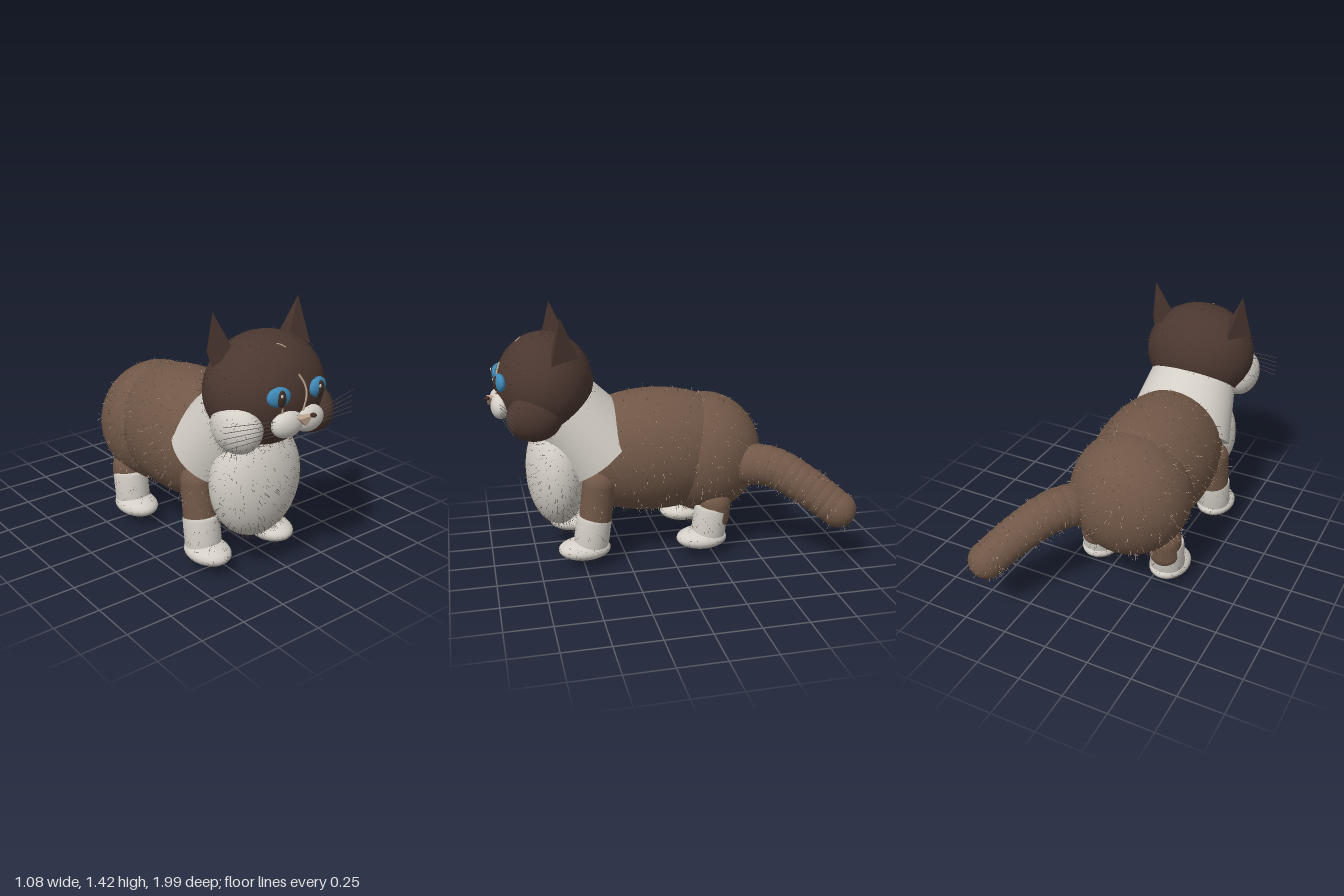
import * as THREE from 'three';

const mat = (name, color, side = THREE.FrontSide) => {
  const m = new THREE.MeshStandardMaterial({ color, side });
  m.name = name;
  return m;
};

export function createModel() {
  const brown = mat('brown fur', 0x705747);
  const dark = mat('dark mask fur', 0x4b3730);
  const white = mat('white fur', 0xd3cec6);
  const blue = mat('blue eye', 0x3f88b5);
  const tan = mat('tan nose', 0xc0a58f);
  const pupil = mat('pupil', 0x3d2d27);
  const darkHair = mat('dark hair', 0x3a2c26, THREE.DoubleSide);
  const lightHair = mat('light hair', 0xc2ad96, THREE.DoubleSide);
  const whiskerMat = mat('whisker', 0x5a524e);

  const CX = -0.12; // body's plane of symmetry
  const root = new THREE.Group();
  root.name = 'cat';

  let seed = 7;
  const rand = () => (seed = (seed * 16807) % 2147483647) / 2147483647;
  const V = (x, y, z) => new THREE.Vector3(x, y, z);

  const add = (name, geo, material, x = 0, y = 0, z = 0) => {
    const mesh = new THREE.Mesh(geo, material);
    mesh.name = name;
    mesh.position.set(x, y, z);
    root.add(mesh);
    return mesh;
  };

  // Thin stray hairs standing out from an ellipsoid
  const fur = (name, c, r, count, material, length = 0.03) => {
    const pos = [];
    for (let i = 0; i < count; i++) {
      const u = rand() * 2 - 1, a = rand() * Math.PI * 2, s = Math.sqrt(1 - u * u);
      const d = V(s * Math.cos(a), u, s * Math.sin(a));
      const p = d.clone().multiply(r).add(c);
      const n = d.clone().divide(r).normalize();
      const lean = V(rand() - 0.5, rand() - 0.9, rand() - 0.5);
      const tip = n.clone().addScaledVector(lean, 0.9).multiplyScalar(length * (0.5 + 0.5 * rand())).add(p);
      const w = n.clone().cross(lean).normalize().multiplyScalar(0.0011);
      pos.push(...p.clone().sub(w).toArray(), ...p.clone().add(w).toArray(), ...tip.toArray());
    }
    const g = new THREE.BufferGeometry();
    g.setAttribute('position', new THREE.Float32BufferAttribute(pos, 3));
    g.computeVertexNormals();
    add(name + 'Hair', g, material);
  };

  // Ellipsoid with optional fur
  const ball = (name, material, c, r, hairs = 0) => {
    const mesh = add(name, new THREE.SphereGeometry(1, 40, 28), material, ...c);
    mesh.scale.set(...r);
    if (hairs) {
      fur(name, V(...c), V(...r), hairs, darkHair);
      if (material === brown) fur(name + 'Light', V(...c), V(...r), hairs, lightHair);
    }
    return mesh;
  };

  // Body
  ball('torso', brown, [CX, 0.575, 0.06], [0.335, 0.355, 0.57], 700);
  ball('rump', brown, [CX, 0.535, -0.245], [0.34, 0.35, 0.33], 500);
  ball('chestBib', white, [CX, 0.495, 0.615], [0.268, 0.32, 0.175], 900);

  // Collar of white fur leaning forward into the head
  const collar = add('neckCollar', new THREE.CylinderGeometry(0.22, 0.27, 0.32, 48), white, CX, 0.73, 0.47);
  collar.rotation.x = 0.67;
  collar.scale.x = 1.17;

  // Head
  const H = { y: 1.0, z: 0.665, rx: 0.322, ry: 0.285, rz: 0.265 };
  ball('head', dark, [CX, H.y, H.z], [H.rx, H.ry, H.rz], 900);
  ball('rightCheek', white, [CX - 0.233, 0.872, 0.745], [0.108, 0.132, 0.15], 150);
  ball('leftCheek', dark, [CX + 0.225, 0.872, 0.745], [0.108, 0.132, 0.15], 150);
  const faceZ = (x, y) =>
    H.z + H.rz * Math.sqrt(1 - ((x - CX) / H.rx) ** 2 - ((y - H.y) / H.ry) ** 2);

  // Three-sided pointed ears
  for (const s of [-1, 1]) {
    const front = V(CX + s * 0.312, 1.16, 0.655), inner = V(CX + s * 0.165, 1.2, 0.645);
    const back = V(CX + s * 0.225, 1.18, 0.5), tip = V(CX + s * 0.268, 1.405, 0.6);
    const faces = [[front, inner, tip], [inner, back, tip], [back, front, tip], [inner, front, back]];
    const pts = faces.flatMap(([a, b, c]) => (s < 0 ? [a, b, c] : [b, a, c]));
    const g = new THREE.BufferGeometry().setFromPoints(pts);
    g.computeVertexNormals();
    add(s < 0 ? 'rightEar' : 'leftEar', g, dark);
  }

  for (const s of [-1, 1]) {
    const side = s < 0 ? 'right' : 'left';
    // Eyes
    const eye = ball(side + 'Eye', blue, [CX + s * 0.122, 1.045, 0.913], [0.061, 0.049, 0.028]);
    eye.rotation.y = s * 0.25;
    ball(side + 'Pupil', pupil, [CX + s * 0.12, 1.042, 0.931], [0.026, 0.041, 0.017]);
    ball(side + 'EyeGlint', white, [CX + s * 0.12 - 0.011, 1.06, 0.946], [0.007, 0.009, 0.004]);
    // Muzzle pads
    ball(side + 'Muzzle', white, [CX + s * 0.067, 0.9, 0.915], [0.09, 0.067, 0.051]);
    // Whiskers
    for (let i = 0; i < 5; i++) {
      const k = i - 2;
      const a = V(CX + s * 0.12, 0.897 - k * 0.016, 0.925), b = V(CX + s * 0.412, 0.893 - k * 0.029, 0.868);
      const line = new THREE.LineCurve3(a, b);
      add(side + 'Whisker', new THREE.TubeGeometry(line, 1, 0.0014, 5), whiskerMat);
    }
  }

  // Nose
  const noseShape = new THREE.Shape();
  noseShape.moveTo(-0.043, 0.018);
  noseShape.lineTo(0, -0.024);
  noseShape.lineTo(0.04, 0.02);
  add('nose', new THREE.ExtrudeGeometry(noseShape, { depth: 0.045, bevelEnabled: false }), tan, CX - 0.003, 0.919, 0.935);
  ball('noseSpot', pupil, [CX + 0.037, 0.941, 0.982], [0.015, 0.011, 0.016]);

  // Pale streaks on the face
  const streak = (pts, r) => {
    const curve = new THREE.CatmullRomCurve3(pts.map(([x, y]) => V(x, y, faceZ(x, y) + 0.003)));
    add('faceStreak', new THREE.TubeGeometry(curve, 24, r, 6), tan);
  };
  streak([[-0.115, 1.13], [-0.09, 1.08], [-0.083, 1.03], [-0.1, 0.95]], 0.005);
  streak([[-0.15, 1.255], [-0.135, 1.25], [-0.118, 1.238]], 0.003);
  streak([[-0.222, 0.99], [-0.22, 0.96]], 0.004);

  // Legs with white socks and flat paws
  const sockProfile = [[0, 0.1], [0.088, 0.1], [0.098, 0.085], [0.098, -0.06], [0.085, -0.09], [0, -0.09]]
    .reverse().map(([r, y]) => new THREE.Vector2(r, y));
  const leg = (name, x, z, top, lean) => {
    const upper = add(name, new THREE.CapsuleGeometry(0.091, top - 0.3, 10, 28), brown, x, (top + 0.12) / 2, z - 0.015);
    upper.rotation.x = -lean;
    fur(name, V(x, top / 2 + 0.1, z - 0.01), V(0.09, 0.16, 0.09), 80, lightHair);
    const sock = add(name + 'Sock', new THREE.LatheGeometry(sockProfile, 32), white, x, 0.175, z + 0.012);
    sock.rotation.x = -0.14;
    fur(name + 'Sock', V(x, 0.18, z + 0.012), V(0.1, 0.11, 0.1), 90, darkHair);
    ball(name + 'Paw', white, [x, 0.085, z + 0.058], [0.112, 0.059, 0.146], 120);
  };
  for (const s of [-1, 1]) {
    const side = s < 0 ? 'right' : 'left';
    leg(side + 'FrontLeg', CX + s * 0.215, 0.44, 0.55, 0.12);
    leg(side + 'BackLeg', CX + s * 0.215, -0.24, 0.38, 0.1);
  }

  // Tail: overlapping beads along a drooping curve
  const tail = new THREE.CatmullRomCurve3([
    V(0.05, 0.5, -0.37), V(0.18, 0.515, -0.56), V(0.3, 0.435, -0.72), V(0.415, 0.32, -0.875),
  ]);
  const beads = 14;
  for (let i = 0; i < beads; i++) {
    const t = i / (beads - 1), p = tail.getPointAt(t), r = 0.122 - 0.02 * t;
    ball('tailSegment', brown, p.toArray(), [r, r, r], 45);
  }

  return root;
}
